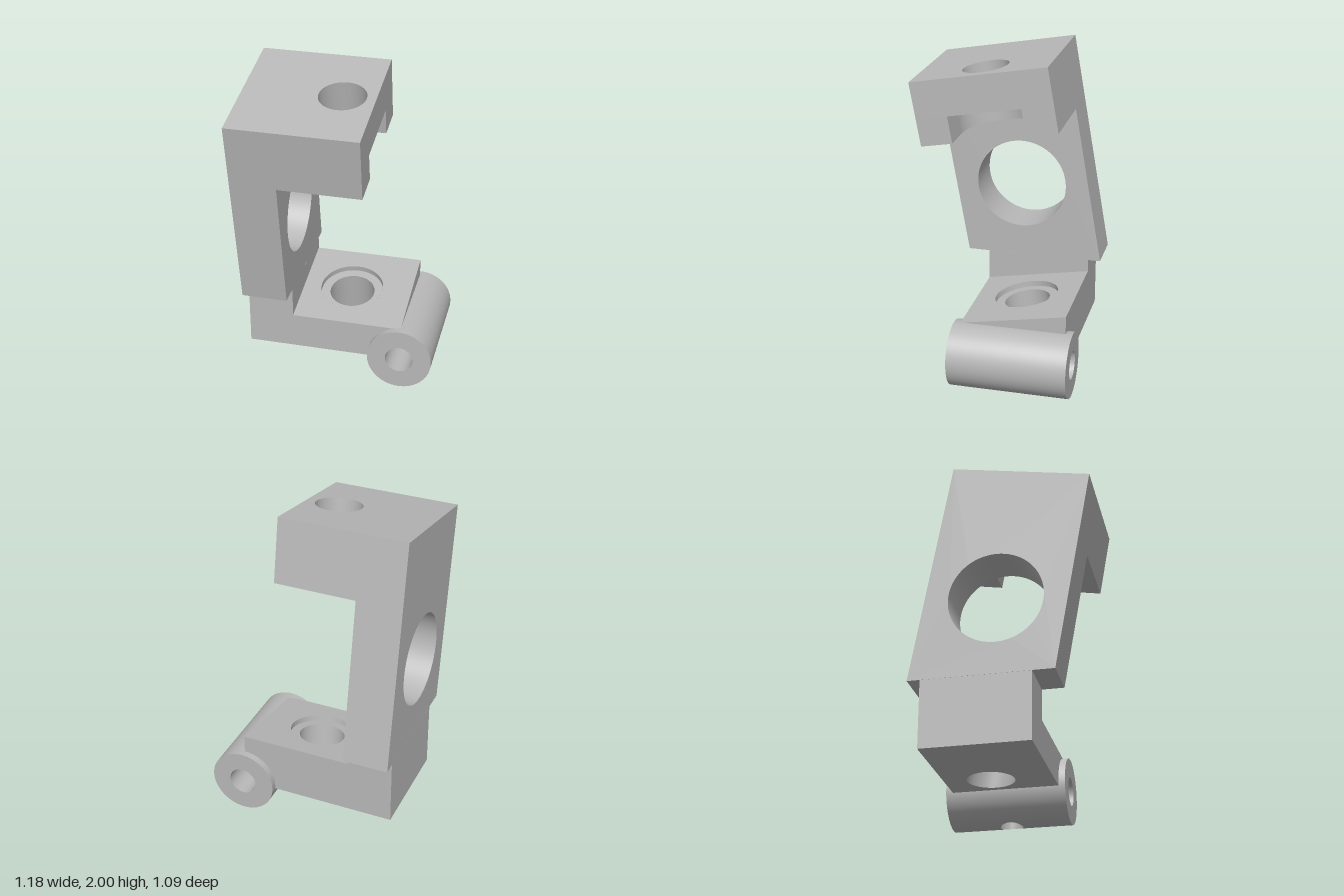
import * as THREE from 'three';
import { toCreasedNormals } from 'three/addons/utils/BufferGeometryUtils.js';
import { ParametricGeometry } from 'three/addons/geometries/ParametricGeometry.js';

const { sin, cos, tan, asin, abs, max, PI } = Math;
const TILT = PI / 18;
const TAU = PI * 2;

export function createModel() {
  const model = new THREE.Group();
  model.name = 'tiltedBracket';
  const metal = new THREE.MeshStandardMaterial({ color: 0xb8b8b8, side: THREE.DoubleSide });
  metal.name = 'plain grey';

  const add = (parent, name, geometry) => {
    const mesh = new THREE.Mesh(geometry, metal);
    mesh.name = name;
    parent.add(mesh);
    return mesh;
  };
  const group = (name) => {
    const g = new THREE.Group();
    g.name = name;
    model.add(g);
    return g;
  };
  const polygon = (pts) => new THREE.Shape(pts.map(([x, y]) => new THREE.Vector2(x, y)));
  const hole = (shape, cx, cy, rx, ry = rx) => {
    shape.holes.push(new THREE.Path().absellipse(cx, cy, rx, ry, 0, TAU, true));
    return shape;
  };
  const extrude = (shape, depth) => toCreasedNormals(
    new THREE.ExtrudeGeometry(shape, { depth, bevelEnabled: false, curveSegments: 64 }), 0.5);
  // Surface from a function (u, v) => [x, y, z]
  const surface = (fn, nu = 64, nv = 1) =>
    new ParametricGeometry((u, v, target) => target.set(...fn(u, v)), nu, nv);

  // ---- Upper arm, in a frame leaning forward about x, origin at the top centre
  const arm = group('upperArm');
  arm.position.set(0, 1.9275, 0.124);
  arm.rotation.x = TILT;
  const half = 0.4275;

  // Side plate with the large round window and a level lower end
  const plate = hole(polygon([[-half, 0], [half, 0], [half, -1.272], [-half, -1.423]]), 0, -0.855, 0.287);
  add(arm, 'sidePlate', extrude(plate, 0.285).rotateY(-PI / 2)).position.x = -0.31;

  // Head: drilled top layer, recess layer, and a lower layer with a U slot open to the side
  const headBlock = () => polygon([[-0.31, -half], [0.2, -half], [0.2, half], [-0.31, half]]);
  const slot = 0.229;
  const slotted = new THREE.Shape();
  slotted.moveTo(-0.31, -half).lineTo(0.2, -half).lineTo(0.2, -slot).lineTo(0, -slot);
  slotted.absarc(0, 0, slot, -PI / 2, PI / 2, true);
  slotted.lineTo(0.2, slot).lineTo(0.2, half).lineTo(-0.31, half);
  [
    ['headTop', hole(headBlock(), 0, 0, 0.143), 0, 0.2],
    ['headRecess', hole(headBlock(), 0, 0, 0.19), 0.2, 0.03],
    ['headSlot', slotted, 0.23, 0.17],
  ].forEach(([name, shape, top, depth]) => {
    add(arm, name, extrude(shape, depth).rotateX(PI / 2)).position.y = -top;
  });

  // ---- Base
  const base = group('base');
  const x0 = -0.31, x1 = 0.385, zBack = -0.467, zFront = 0.19, floor = 0.18;
  const topY = (z) => 0.523 - (z - zBack) * tan(TILT);
  const centreZ = -0.134, centreY = topY(centreZ);

  // Upright under the side plate
  add(base, 'upright', new THREE.BoxGeometry(0.285, 0.42, zFront - zBack))
    .position.set(-0.4525, 0.39, (zFront + zBack) / 2);

  // Sloping top and level underside, each with its hole
  const cap = (name, xEnd, heightAt, cz, rx, rz) => {
    const shape = polygon([[x0, zBack], [xEnd, zBack], [xEnd, zFront], [x0, zFront]]);
    const geometry = new THREE.ShapeGeometry(hole(shape, 0, cz, rx, rz), 64);
    const p = geometry.attributes.position;
    for (let i = 0; i < p.count; i++) p.setXYZ(i, p.getX(i), heightAt(p.getY(i)), p.getY(i));
    geometry.computeVertexNormals();
    add(base, name, geometry);
  };
  cap('baseTop', x1, topY, centreZ, 0.2, 0.2 * cos(TILT));
  cap('baseUnderside', 0.25, () => floor,
    centreZ - (centreY - floor) * tan(TILT), 0.143, 0.143 / cos(TILT));

  // Front, back and end walls
  for (const [name, z] of [['baseFront', zFront], ['baseBack', zBack]]) {
    const wall = polygon([[x0, floor], [0.25, floor], [0.25, 0.33], [x1, 0.33], [x1, topY(z)], [x0, topY(z)]]);
    add(base, name, new THREE.ShapeGeometry(wall)).position.z = z;
  }
  add(base, 'baseEnd', surface((u, v) => {
    const z = zBack + (zFront - zBack) * u;
    return [x1, 0.33 + (topY(z) - 0.33) * v, z];
  }, 1));

  // Counterbored hole, square to the sloping top
  const bore = (r, angle, depth) => {
    const w = r * sin(angle);
    return [r * cos(angle), centreY - w * sin(TILT) - depth * cos(TILT),
      centreZ + w * cos(TILT) - depth * sin(TILT)];
  };
  const step = 0.035, boreR = 0.143;
  add(base, 'counterboreWall', surface((u, v) => bore(0.2, u * TAU, v * step)));
  add(base, 'counterboreFloor', surface((u, v) => bore(0.2 + (boreR - 0.2) * v, u * TAU, step)));
  add(base, 'baseHoleWall', surface((u, v) => {
    const a = u * TAU;
    const through = (centreY - boreR * sin(a) * sin(TILT) - floor) / cos(TILT);
    return bore(boreR, a, step + (through - step) * v);
  }));

  // ---- Hinge tube with a small port through its underside
  const tube = group('hingeTube');
  tube.position.set(0.385, 0.205, 0);
  const outerR = 0.205, innerR = 0.088, z0 = -0.51, z1 = 0.23;
  const portZ = -0.14, portR = 0.07, patch = 0.08;
  const below = (R, dx, z) => [dx, -Math.sqrt(R * R - dx * dx), z];
  const arc = (name, R, a0, za, zb) => add(tube, name, surface((u, v) => {
    const a = a0 + (TAU - 2 * a0) * u;
    return [R * sin(a), -R * cos(a), za + (zb - za) * v];
  }, 96));

  for (const [side, R] of [['outer', outerR], ['inner', innerR]]) {
    arc(side + 'TubeBack', R, 0, z0, portZ - patch);
    arc(side + 'TubeMiddle', R, asin(patch / R), portZ - patch, portZ + patch);
    arc(side + 'TubeFront', R, 0, portZ + patch, z1);
    // Square patch around the port
    add(tube, side + 'PortSurround', surface((u, v) => {
      const c = cos(u * TAU), s = sin(u * TAU);
      const r = portR + (patch / max(abs(c), abs(s)) - portR) * v;
      return below(R, r * c, portZ + r * s);
    }, 64, 4));
  }
  add(tube, 'portWall', surface((u, v) => {
    const dx = portR * cos(u * TAU), z = portZ + portR * sin(u * TAU);
    const a = below(outerR, dx, z)[1], b = below(innerR, dx, z)[1];
    return [dx, a + (b - a) * v, z];
  }));
  for (const [name, z] of [['tubeBackEnd', z0], ['tubeFrontEnd', z1]]) {
    const end = add(tube, name, new THREE.RingGeometry(innerR, outerR, 96));
    end.position.z = z;
    if (z < 0) end.rotation.y = PI;
  }

  return model;
}
